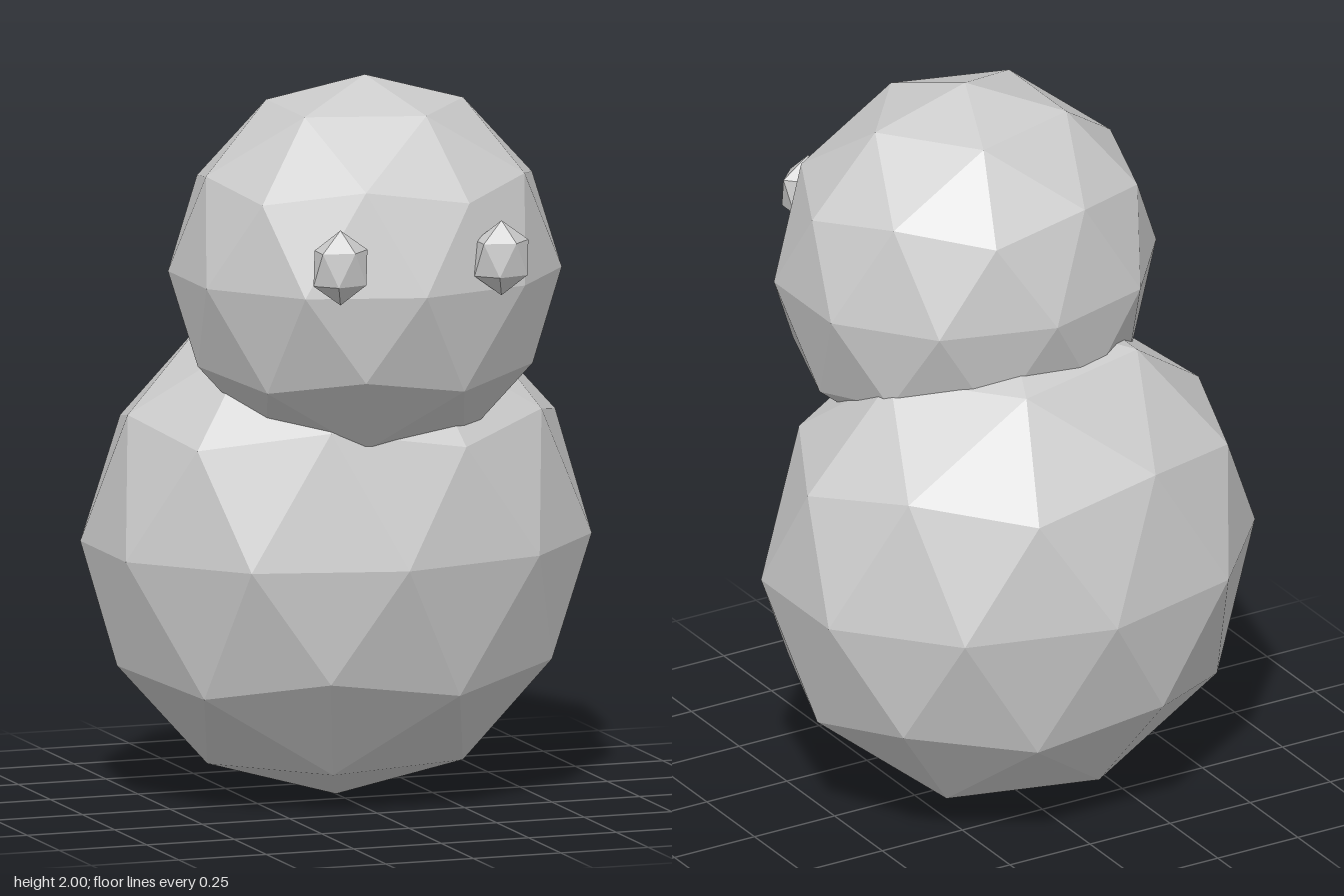
import * as THREE from 'three';

const material = new THREE.MeshStandardMaterial({ color: 0xcccccc, flatShading: true });

// Faceted ball with a vertex at each pole, stretched to the given radii
function facetedBall(name, detail, radii, position) {
  const geometry = new THREE.IcosahedronGeometry(1, detail);
  geometry.rotateZ(-Math.atan(2 / (1 + Math.sqrt(5)))); // bring one corner to the top
  geometry.scale(...radii);
  geometry.computeVertexNormals();
  const mesh = new THREE.Mesh(geometry, material);
  mesh.name = name;
  mesh.position.set(...position);
  return mesh;
}

export function createModel() {
  const model = new THREE.Group();
  model.name = 'roundFigure';

  // Large body with a smaller head set forward on top
  model.add(facetedBall('body', 1, [0.7, 0.7, 0.575], [0, 0.703, -0.07]));
  model.add(facetedBall('head', 1, [0.534, 0.53, 0.485], [0, 1.47, 0.155]));

  // Small coarse eyes sunk into the face
  for (const [name, side] of [['leftEye', 1], ['rightEye', -1]]) {
    model.add(facetedBall(name, 0, [0.086, 0.102, 0.062], [side * 0.23, 1.558, 0.592]));
  }
  return model;
}
